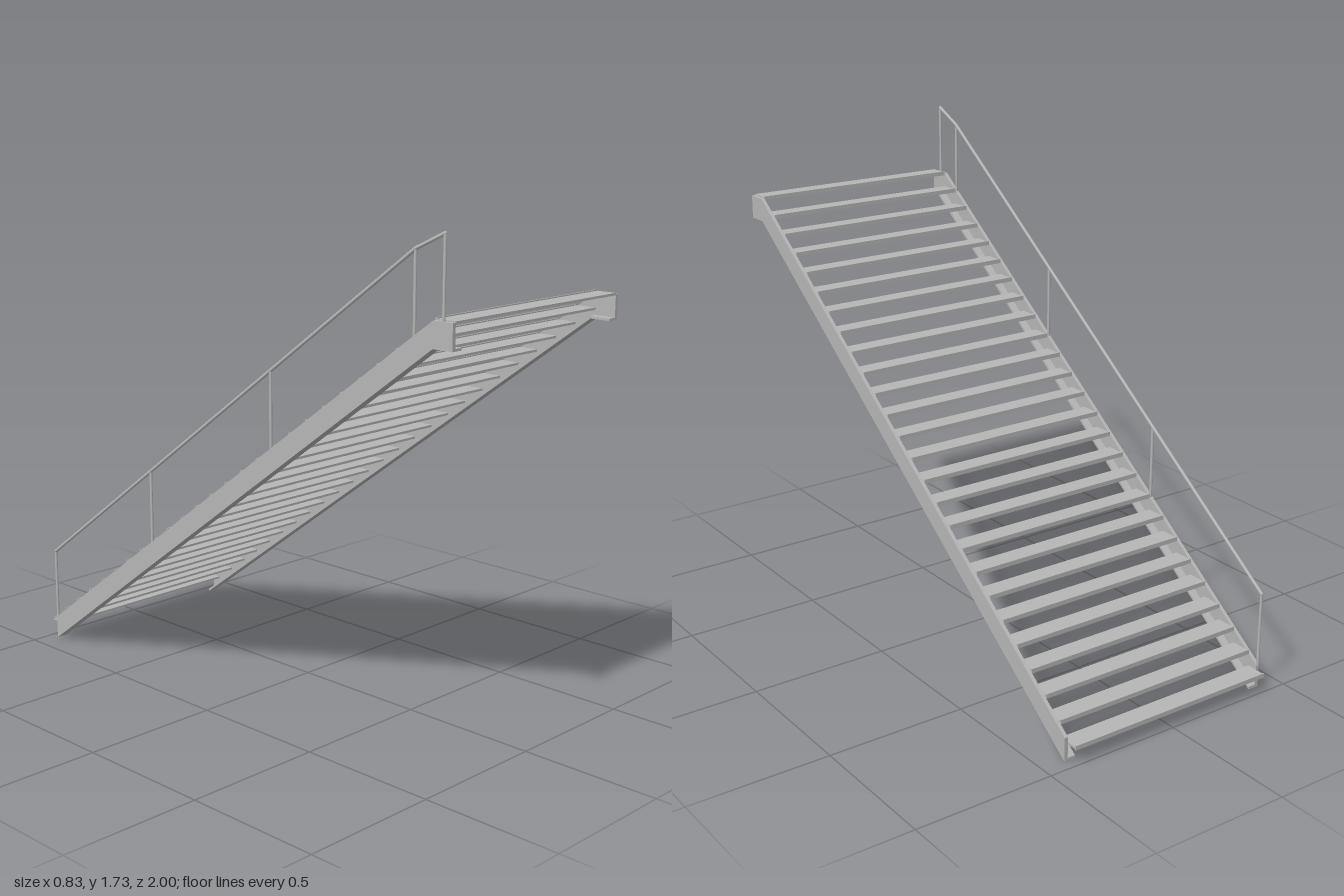
import * as THREE from 'three';

const steel = new THREE.MeshStandardMaterial({ color: 0xb6b6b6 });
steel.name = 'grey steel';

const STEPS = 26, RUN = 2 / STEPS, RISE = 0.056;

function add(parent, name, geometry, x = 0, y = 0, z = 0) {
  const mesh = new THREE.Mesh(geometry, steel);
  mesh.name = name;
  mesh.position.set(x, y, z);
  parent.add(mesh);
  return mesh;
}

// Extrudes a (z, y) outline along x, from x0 to x0 + width
function sideProfile(points, x0, width) {
  const shape = new THREE.Shape(points.map(([z, y]) => new THREE.Vector2(-z, y)));
  const g = new THREE.ExtrudeGeometry(shape, { depth: width, bevelEnabled: false });
  g.rotateY(Math.PI / 2); // shape x -> -z, depth -> x
  g.translate(x0, 0, 0);
  return g;
}

// Round bar between two points
function bar(parent, name, a, b, radius) {
  const dir = b.clone().sub(a);
  const mesh = add(parent, name, new THREE.CylinderGeometry(radius, radius, dir.length(), 12));
  mesh.position.copy(a).add(b).multiplyScalar(0.5);
  mesh.quaternion.setFromUnitVectors(new THREE.Vector3(0, 1, 0), dir.normalize());
}

export function createModel() {
  const model = new THREE.Group();
  model.name = 'staircase';

  // Angle-section stringers: upright web outside, flange turned in below
  const web = [[-0.96, 0], [0.925, 1.378], [1, 1.378], [1, 1.463], [0.925, 1.463], [-0.96, 0.085]];
  const flange = [[-0.96, 0], [0.925, 1.378], [1, 1.378], [1, 1.386], [0.922, 1.386], [-0.96, 0.01]];
  for (const side of [-1, 1]) {
    const stringer = new THREE.Group();
    stringer.name = side < 0 ? 'rightStringer' : 'leftStringer';
    add(stringer, 'web', sideProfile(web, side < 0 ? -0.417 : 0.404, 0.013));
    add(stringer, 'flange', sideProfile(flange, side < 0 ? -0.405 : 0.375, 0.03));
    model.add(stringer);
  }

  // Treads: thin plate with a nosing lip along the back edge
  const plate = new THREE.BoxGeometry(0.808, 0.008, RUN - 0.001);
  const lip = new THREE.BoxGeometry(0.808, 0.016, 0.005);
  for (let i = 0; i < STEPS; i++) {
    const tread = new THREE.Group();
    tread.name = 'tread' + (i + 1);
    tread.position.set(0, 0.063 + i * RISE, -1 + (i + 0.5) * RUN);
    add(tread, 'plate', plate);
    add(tread, 'nosing', lip, 0, 0, -RUN / 2 + 0.0025);
    model.add(tread);
  }

  // Handrail on the right-hand stringer
  const handrail = new THREE.Group();
  handrail.name = 'handrail';
  model.add(handrail);
  const X = -0.411;
  const posts = [[-0.96, 0.08, 0.35], [-0.38, 0.5, 0.773], [0.235, 0.945, 1.221], [0.848, 1.395, 1.667], [0.96, 1.455, 1.72]];
  for (const [z, y0, y1] of posts) {
    bar(handrail, 'post', new THREE.Vector3(X, y0, z), new THREE.Vector3(X, y1, z), 0.0052);
  }
  const path = [posts[0], posts[3], posts[4]].map(([z, , y]) => new THREE.Vector3(X, y, z));
  for (let i = 0; i < 2; i++) bar(handrail, 'rail', path[i], path[i + 1], 0.006);
  for (const p of path) add(handrail, 'railJoint', new THREE.SphereGeometry(0.006, 12, 8), p.x, p.y, p.z);

  return model;
}
